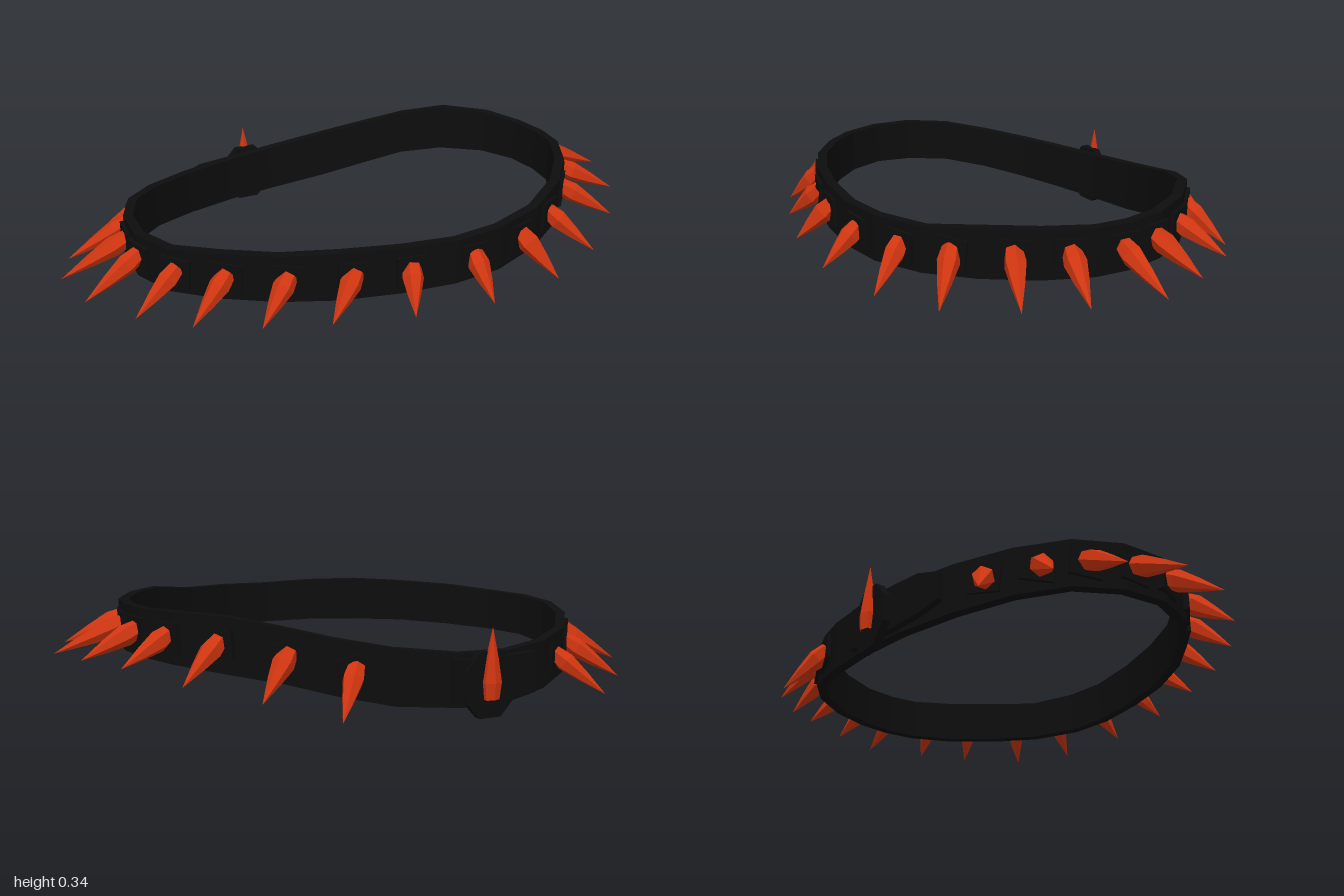
import * as THREE from 'three';

// Band stations, counter-clockwise from the left side: x, z, bottom y, top y
const BAND = [
  [0.77, -0.03, 0.185, 0.335], [0.75, -0.15, 0.185, 0.335], [0.69, -0.28, 0.18, 0.34],
  [0.57, -0.41, 0.165, 0.335], [0.43, -0.49, 0.14, 0.305], [0.29, -0.54, 0.10, 0.27],
  [0.12, -0.58, 0.06, 0.235], [-0.1, -0.595, 0.035, 0.205], [-0.28, -0.57, 0.03, 0.195],
  [-0.46, -0.5, 0.04, 0.2], [-0.61, -0.4, 0.06, 0.215], [-0.71, -0.27, 0.085, 0.24],
  [-0.76, -0.12, 0.1, 0.255], [-0.76, 0.03, 0.11, 0.26], [-0.7, 0.17, 0.115, 0.265],
  [-0.58, 0.29, 0.125, 0.28], [-0.43, 0.4, 0.135, 0.29], [-0.26, 0.475, 0.14, 0.3],
  [-0.08, 0.52, 0.145, 0.3], [0.1, 0.535, 0.145, 0.295], [0.26, 0.52, 0.15, 0.3],
  [0.43, 0.455, 0.16, 0.305], [0.58, 0.355, 0.175, 0.33], [0.69, 0.22, 0.18, 0.335],
  [0.76, 0.08, 0.185, 0.335],
];

// Spikes: base x, base z, tip x, tip y, tip z
const SPIKES = [
  [0.24, -0.57, 0.33, 0.05, -0.675], [0.42, -0.49, 0.54, 0.11, -0.595],
  [0.59, -0.39, 0.73, 0.15, -0.465], [0.70, -0.26, 0.87, 0.19, -0.33],
  [0.77, -0.13, 0.95, 0.19, -0.16], [0.79, 0.0, 1.0, 0.185, 0.01],
  [0.76, 0.16, 0.93, 0.18, 0.22], [0.67, 0.3, 0.82, 0.16, 0.37],
  [0.53, 0.43, 0.64, 0.13, 0.525], [0.37, 0.52, 0.435, 0.12, 0.625],
  [0.165, 0.55, 0.17, 0.12, 0.67], [-0.05, 0.54, -0.09, 0.125, 0.65],
  [-0.22, 0.49, -0.33, 0.12, 0.58], [-0.4, 0.41, -0.52, 0.11, 0.5],
  [-0.56, 0.31, -0.7, 0.095, 0.385], [-0.69, 0.2, -0.84, 0.085, 0.25],
  [-0.78, 0.05, -0.96, 0.08, 0.08], [-0.79, -0.09, -1.0, 0.08, -0.1],
  [-0.77, -0.25, -0.95, 0.055, -0.275], [-0.7, -0.38, -0.84, 0.03, -0.44],
  [-0.57, -0.49, -0.68, 0.01, -0.57],
];

// Rectangular strap swept along stations
function strapGeometry(stations, thickness, closed) {
  const n = stations.length, pos = [], index = [];
  stations.forEach(([x, z, lo, hi], i) => {
    const a = stations[closed ? (i + n - 1) % n : Math.max(i - 1, 0)];
    const b = stations[closed ? (i + 1) % n : Math.min(i + 1, n - 1)];
    const out = new THREE.Vector2(a[1] - b[1], b[0] - a[0]).setLength(thickness / 2);
    for (const [side, y] of [[1, lo], [1, hi], [-1, hi], [-1, lo]]) {
      pos.push(x + side * out.x, y, z + side * out.y);
    }
  });
  for (let i = 0; i < (closed ? n : n - 1); i++) {
    const p = i * 4, q = ((i + 1) % n) * 4;
    for (let k = 0; k < 4; k++) {
      const m = (k + 1) % 4;
      index.push(p + k, q + k, q + m, p + k, q + m, p + m);
    }
  }
  if (!closed) {
    const e = (n - 1) * 4;
    index.push(0, 1, 2, 0, 2, 3, e, e + 2, e + 1, e, e + 3, e + 2);
  }
  const g = new THREE.BufferGeometry();
  g.setAttribute('position', new THREE.Float32BufferAttribute(pos, 3));
  g.setIndex(index);
  const flat = g.toNonIndexed();
  flat.computeVertexNormals();
  return flat;
}

// Nearest spot on the band: centre point, outward direction and slope
function onBand(x, z) {
  let best = null;
  BAND.forEach((a, i) => {
    const b = BAND[(i + 1) % BAND.length];
    const dx = b[0] - a[0], dz = b[1] - a[1], len = Math.hypot(dx, dz);
    const t = THREE.MathUtils.clamp(((x - a[0]) * dx + (z - a[1]) * dz) / (len * len), 0, 1);
    const ya = (a[2] + a[3]) / 2, yb = (b[2] + b[3]) / 2;
    const point = new THREE.Vector3(a[0] + dx * t, ya + (yb - ya) * t, a[1] + dz * t);
    const d = Math.hypot(point.x - x, point.z - z);
    if (!best || d < best.d) {
      best = { d, point, out: new THREE.Vector3(-dz / len, 0, dx / len), slope: Math.atan2(yb - ya, len) };
    }
  });
  return best;
}

function spikeGeometry(length, radius) {
  const profile = [[radius * 0.8, -0.01], [radius, length * 0.2], [radius * 0.62, length * 0.55], [0, length]];
  const g = new THREE.LatheGeometry(profile.map(([r, y]) => new THREE.Vector2(r, y)), 6).toNonIndexed();
  g.computeVertexNormals();
  return g;
}

export function createModel() {
  const model = new THREE.Group();
  const black = new THREE.MeshStandardMaterial({ color: 0x0d0d0d });
  black.name = 'blackLeather';
  const red = new THREE.MeshStandardMaterial({ color: 0xcf3510 });
  red.name = 'redSpike';

  const add = (name, geometry, material, parent = model) => {
    const mesh = new THREE.Mesh(geometry, material);
    mesh.name = name;
    parent.add(mesh);
    return mesh;
  };

  add('band', strapGeometry(BAND, 0.032, true), black);

  // Loose strap end overlapping the outside of the band
  add('strapTail', strapGeometry([
    [-0.06, -0.618, 0.05, 0.19], [-0.18, -0.615, 0.04, 0.185], [-0.28, -0.598, 0.04, 0.185],
    [-0.38, -0.575, 0.05, 0.185], [-0.455, -0.55, 0.075, 0.165],
  ], 0.022, false), black);

  // Studs: a backing plate and a drooping spike
  const up = new THREE.Vector3(0, 1, 0);
  for (const [bx, bz, tx, ty, tz] of SPIKES) {
    const { point, out, slope } = onBand(bx, bz);
    const stud = new THREE.Group();
    stud.name = 'stud';
    model.add(stud);

    const plate = add('studPlate', new THREE.BoxGeometry(0.1, 0.095, 0.024), black, stud);
    plate.position.copy(point).addScaledVector(out, 0.014);
    plate.rotation.set(0, Math.atan2(out.x, out.z), -slope, 'YXZ');

    const base = point.clone().addScaledVector(out, 0.02);
    base.y += 0.008;
    const dir = new THREE.Vector3(tx, ty, tz).sub(base);
    const spike = add('spike', spikeGeometry(dir.length(), 0.034), red, stud);
    spike.position.copy(base);
    spike.quaternion.setFromUnitVectors(up, dir.normalize());
  }

  // Eight-sided buckle with an upright spike
  const buckle = new THREE.Group();
  buckle.name = 'buckle';
  buckle.position.set(-0.185, 0.105, -0.623);
  model.add(buckle);
  const plate = add('bucklePlate', new THREE.CylinderGeometry(0.108, 0.108, 0.028, 8).toNonIndexed(), black, buckle);
  plate.geometry.rotateY(Math.PI / 8).rotateX(Math.PI / 2);
  plate.geometry.scale(0.92, 1.04, 1);
  plate.geometry.computeVertexNormals();
  const prong = add('buckleSpike', spikeGeometry(0.215, 0.034), red, buckle);
  prong.position.set(0, -0.035, -0.017);
  prong.scale.z = 0.7;
  return model;
}
